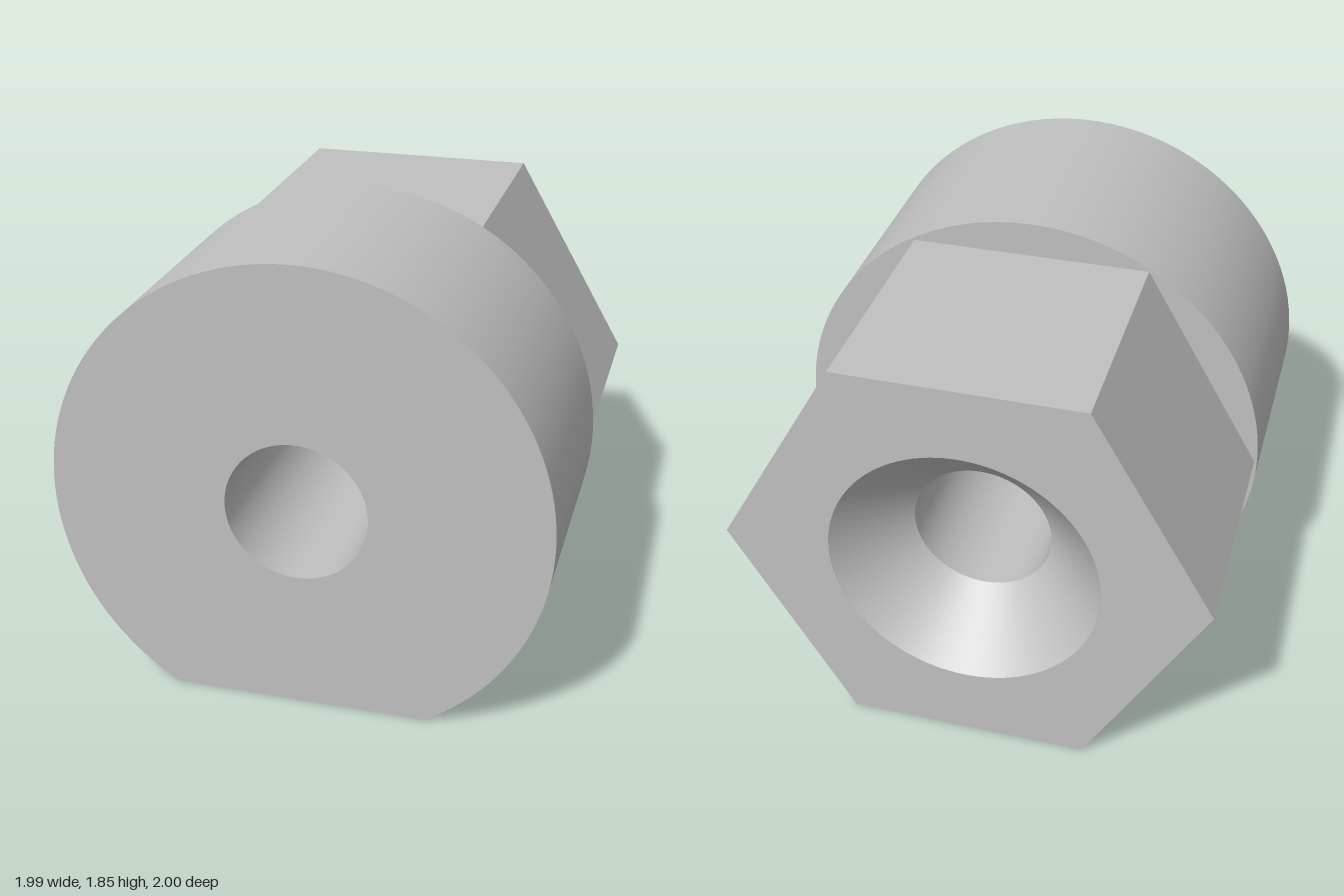
import * as THREE from 'three';

const AXIS_Y = 0.852;               // height of the common axis
const COLLAR_R = 0.995;
const HEX_R = AXIS_Y / Math.cos(Math.PI / 6);
const BORE_R = 0.285;
const SINK_R = 0.55;
const SINK_Z = -0.72;               // where the countersink meets the bore
const SEG = 96;

export function createModel() {
  const model = new THREE.Group();
  const metal = new THREE.MeshStandardMaterial({ color: 0xc0c0c0 });
  metal.name = 'grey metal';

  const add = (name, geometry, z = 0) => {
    const mesh = new THREE.Mesh(geometry, metal);
    mesh.name = name;
    mesh.position.set(0, AXIS_Y, z);
    model.add(mesh);
  };
  const withHole = (shape, r) => {
    shape.holes.push(new THREE.Path().absarc(0, 0, r, 0, Math.PI * 2, true));
    return shape;
  };
  // Inward-facing surface of revolution around z, from [radius, z] pairs
  const inner = (...profile) => new THREE.LatheGeometry(
    profile.map(([r, z]) => new THREE.Vector2(r, z)), SEG).rotateX(Math.PI / 2);

  // Round collar, cut flat along the bottom
  const half = Math.acos(AXIS_Y / COLLAR_R);
  const flatX = COLLAR_R * Math.sin(half);
  const start = half - Math.PI / 2;
  const end = Math.PI * 1.5 - half;
  const collarOutline = () => new THREE.Shape().absarc(0, 0, COLLAR_R, start, end, false);

  add('collarWall', new THREE.CylinderGeometry(COLLAR_R, COLLAR_R, 1, SEG, 1, true,
    half, Math.PI * 2 - 2 * half).rotateX(Math.PI / 2), 0.5);
  add('collarFlat', new THREE.PlaneGeometry(flatX * 2, 1)
    .rotateX(Math.PI / 2).translate(0, -AXIS_Y, 0), 0.5);
  add('collarFront', new THREE.ShapeGeometry(withHole(collarOutline(), BORE_R), SEG), 1);

  // Hexagonal head
  const corners = Array.from({ length: 6 }, (_, i) => new THREE.Vector2(
    HEX_R * Math.cos(i * Math.PI / 3), HEX_R * Math.sin(i * Math.PI / 3)));
  const hexWall = new THREE.CylinderGeometry(HEX_R, HEX_R, 1, 6, 1, true, Math.PI / 6)
    .rotateX(Math.PI / 2).toNonIndexed();
  hexWall.computeVertexNormals();
  add('hexWall', hexWall, -0.5);
  add('hexBack', new THREE.ShapeGeometry(withHole(new THREE.Shape(corners), SINK_R), SEG)
    .rotateY(Math.PI), -1);

  // Rear shoulder of the collar, outside the hexagon
  const shoulder = collarOutline();
  for (const i of [4, 3, 2, 1, 0, 5]) shoulder.lineTo(corners[i].x, corners[i].y);
  add('collarShoulder', new THREE.ShapeGeometry(shoulder, SEG).rotateY(Math.PI));

  // Through bore and conical countersink
  add('bore', inner([BORE_R, 1], [BORE_R, SINK_Z]));
  add('countersink', inner([BORE_R, SINK_Z], [SINK_R, -1]));

  return model;
}
